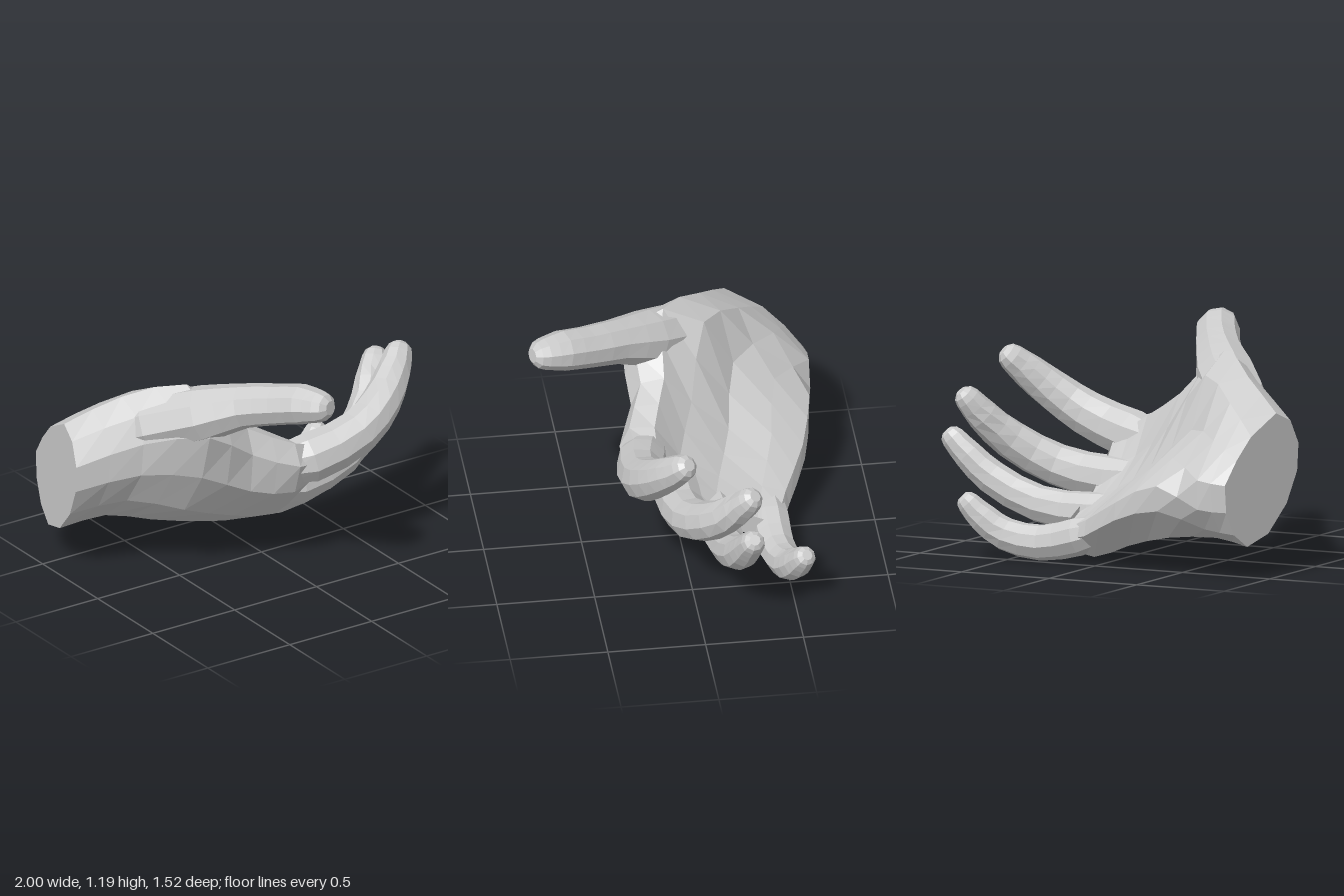
import * as THREE from 'three';

const material = new THREE.MeshStandardMaterial({ color: 0xcccccc, flatShading: true });
const PALM_NORMAL = new THREE.Vector3(0.1, 0.86, -0.5).normalize();

// Skin a list of equal-length rings and close both ends.
function loft(name, rings) {
  const n = rings[0].length, pos = [], index = [];
  rings.forEach(r => r.forEach(p => pos.push(p.x, p.y, p.z)));
  for (let i = 0; i < rings.length - 1; i++) {
    for (let k = 0; k < n; k++) {
      const a = i * n + k, b = i * n + (k + 1) % n, c = b + n, d = a + n;
      index.push(a, d, c, a, c, b);
    }
  }
  const cap = (ring, base, flip) => {
    const c = ring.reduce((s, p) => s.add(p), new THREE.Vector3()).divideScalar(n);
    const ci = pos.length / 3;
    pos.push(c.x, c.y, c.z);
    for (let k = 0; k < n; k++) {
      const a = base + k, b = base + (k + 1) % n;
      index.push(ci, flip ? b : a, flip ? a : b);
    }
  };
  cap(rings[0], 0, false);
  cap(rings[rings.length - 1], (rings.length - 1) * n, true);
  const g = new THREE.BufferGeometry();
  g.setAttribute('position', new THREE.Float32BufferAttribute(pos, 3));
  g.setIndex(index);
  g.computeVertexNormals();
  const mesh = new THREE.Mesh(g, material);
  mesh.name = name;
  return mesh;
}

// Tapered digit along [x, y, z, radius] stations with a rounded tip.
function digit(name, stations, up, width = 1, sides = 9) {
  const curve = new THREE.CatmullRomCurve3(stations.map(s => new THREE.Vector3(s[0], s[1], s[2])));
  const ring = (c, t, r) => {
    const u = up.clone().addScaledVector(t, -up.dot(t)).normalize();
    const s = t.clone().cross(u);
    return Array.from({ length: sides }, (_, k) => {
      const a = (k / sides) * Math.PI * 2;
      return c.clone().addScaledVector(s, r * width * Math.cos(a)).addScaledVector(u, r * Math.sin(a));
    });
  };
  const rings = [], segs = stations.length - 1, steps = segs * 2;
  for (let i = 0; i <= steps; i++) {
    const f = i / 2, j = Math.min(Math.floor(f), segs - 1);
    const r = THREE.MathUtils.lerp(stations[j][3], stations[j + 1][3], f - j);
    rings.push(ring(curve.getPoint(i / steps), curve.getTangent(i / steps), r));
  }
  const end = curve.getPoint(1), t = curve.getTangent(1), r = stations[segs][3];
  rings.push(ring(end.clone().addScaledVector(t, r * 0.5), t, r * 0.82));
  rings.push(ring(end.clone().addScaledVector(t, r * 0.8), t, r * 0.45));
  return loft(name, rings);
}

// Palm cross-sections as [z, y]: thumb edge, over the palm, little-finger edge, back of hand.
const wrist = [[-0.19, 0.66], [-0.25, 0.78], [-0.36, 0.83], [-0.55, 0.73], [-0.66, 0.62], [-0.75, 0.5],
  [-0.74, 0.36], [-0.68, 0.24], [-0.58, 0.17], [-0.42, 0.22], [-0.28, 0.36], [-0.2, 0.52]];
const heel = [[0.0, 0.79], [-0.06, 0.92], [-0.2, 0.98], [-0.4, 0.87], [-0.58, 0.7], [-0.76, 0.52],
  [-0.76, 0.37], [-0.68, 0.26], [-0.55, 0.2], [-0.35, 0.26], [-0.15, 0.42], [-0.02, 0.61]];
const thumbMound = [[0.23, 0.85], [0.18, 0.99], [0.02, 1.07], [-0.19, 0.97], [-0.34, 0.71], [-0.55, 0.59],
  [-0.73, 0.47], [-0.72, 0.34], [-0.6, 0.19], [-0.3, 0.19], [0.0, 0.36], [0.16, 0.6]];
const web = [[0.22, 0.68], [0.17, 0.81], [0.05, 0.83], [-0.09, 0.67], [-0.28, 0.49], [-0.5, 0.44],
  [-0.66, 0.36], [-0.67, 0.27], [-0.52, 0.12], [-0.25, 0.13], [0.03, 0.27], [0.2, 0.47]];
const knuckles = [[0.31, 0.59], [0.26, 0.7], [0.13, 0.69], [0.0, 0.5], [-0.2, 0.36], [-0.42, 0.28],
  [-0.54, 0.24], [-0.56, 0.16], [-0.45, 0.04], [-0.2, 0.11], [0.08, 0.24], [0.26, 0.43]];
const fingerRoots = [[0.27, 0.57], [0.21, 0.64], [0.12, 0.58], [0.01, 0.43], [-0.15, 0.29], [-0.37, 0.19],
  [-0.47, 0.17], [-0.49, 0.12], [-0.43, 0.08], [-0.2, 0.17], [0.05, 0.31], [0.21, 0.48]];

function palm() {
  const sections = [[-0.95, wrist], [-0.72, heel], [-0.47, thumbMound], [-0.2, web], [0.03, knuckles], [0.21, fingerRoots]];
  // Smooth lines run along the hand through matching section points; the wrist cut is slanted.
  const lines = wrist.map((_, k) => new THREE.CatmullRomCurve3(sections.map(([x, s], i) => {
    const [z, y] = s[k];
    return new THREE.Vector3(i === 0 ? -1 - (z + 0.2) * 0.23 : x, y, z);
  })));
  const steps = (sections.length - 1) * 2;
  return loft('palm', Array.from({ length: steps + 1 }, (_, i) => lines.map(l => l.getPoint(i / steps))));
}

export function createModel() {
  const hand = new THREE.Group();
  hand.name = 'hand';
  hand.add(palm());

  // Four fingers curling upward, their roots buried in the palm
  const fingers = {
    indexFinger: [[-0.1, 0.55, 0.12, 0.08], [0.15, 0.57, 0.21, 0.13], [0.43, 0.66, 0.24, 0.116],
      [0.6, 0.77, 0.2, 0.104], [0.71, 0.87, 0.14, 0.09], [0.78, 0.945, 0.085, 0.072]],
    middleFinger: [[-0.1, 0.4, 0.0, 0.08], [0.18, 0.37, 0.03, 0.12], [0.48, 0.425, 0.005, 0.108],
      [0.69, 0.55, -0.09, 0.1], [0.8, 0.68, -0.19, 0.085], [0.86, 0.77, -0.245, 0.068]],
    ringFinger: [[-0.1, 0.26, -0.15, 0.08], [0.18, 0.22, -0.165, 0.108], [0.49, 0.25, -0.185, 0.095],
      [0.74, 0.37, -0.21, 0.088], [0.86, 0.48, -0.235, 0.077], [0.94, 0.565, -0.25, 0.063]],
    littleFinger: [[-0.15, 0.22, -0.45, 0.06], [0.12, 0.14, -0.45, 0.1], [0.33, 0.095, -0.46, 0.093],
      [0.52, 0.13, -0.49, 0.085], [0.63, 0.21, -0.52, 0.076], [0.7, 0.285, -0.545, 0.06]],
  };
  for (const [name, stations] of Object.entries(fingers)) hand.add(digit(name, stations, PALM_NORMAL));

  // Thumb growing out of the mound at the heel of the hand and reaching forward
  hand.add(digit('thumb', [[-0.8, 0.7, -0.35, 0.08], [-0.6, 0.84, -0.1, 0.15], [-0.43, 0.93, 0.11, 0.145],
    [-0.3, 1.01, 0.29, 0.114], [-0.205, 1.055, 0.45, 0.106], [-0.14, 1.09, 0.58, 0.103], [-0.1, 1.105, 0.68, 0.082]],
  new THREE.Vector3(0, 1, 0), 1.08));
  return hand;
}
